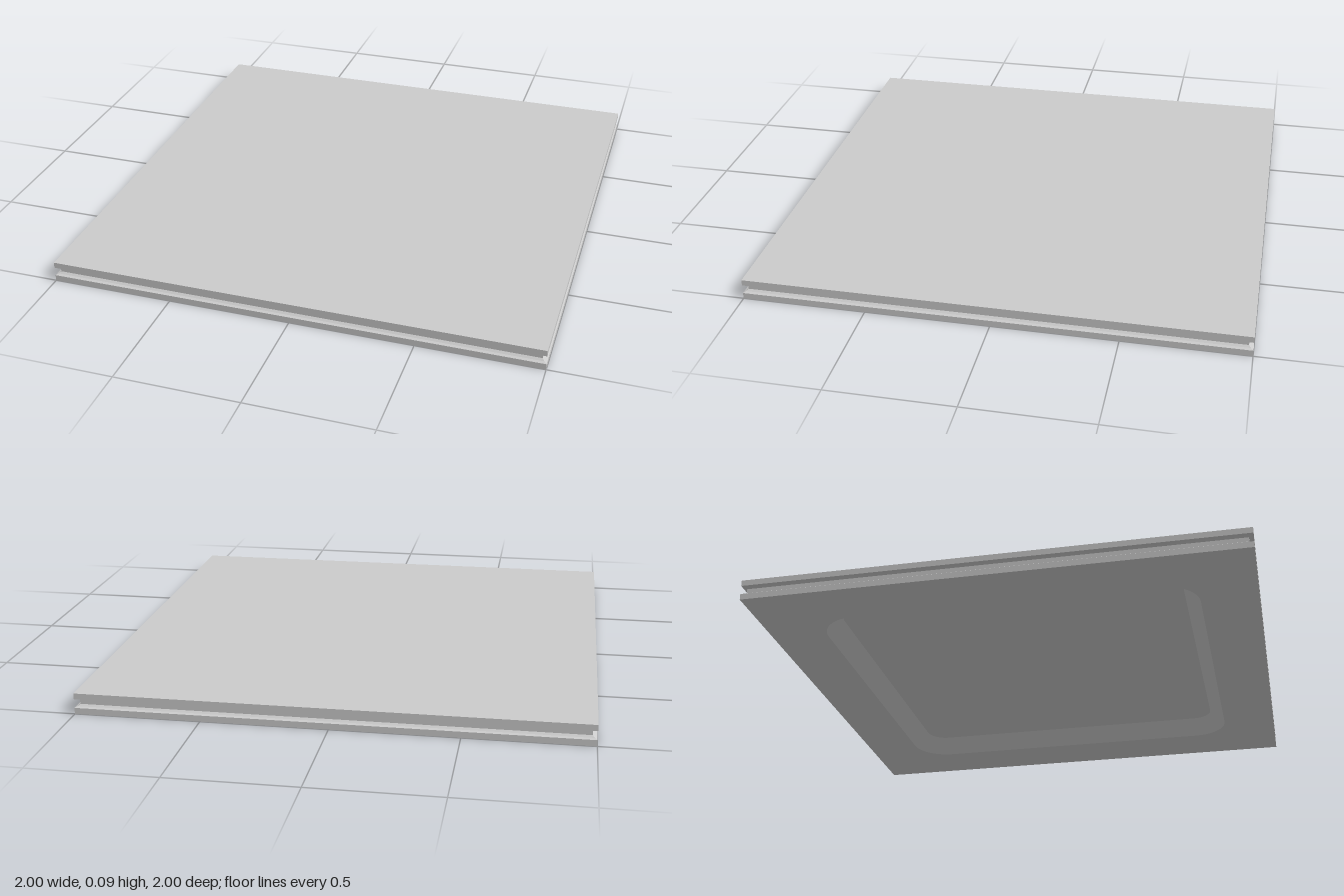
import * as THREE from 'three';

const DEPTH = 0.065; // underside recess depth, walls slope at 45 degrees

// Counter-clockwise outline of a square with rounded corners
function roundedSquare(half, radius, steps = 10) {
  const points = [];
  for (let corner = 0; corner < 4; corner++) {
    const mid = Math.PI / 4 + corner * Math.PI / 2;
    const cx = Math.sign(Math.cos(mid)) * (half - radius);
    const cy = Math.sign(Math.sin(mid)) * (half - radius);
    for (let i = 0; i <= steps; i++) {
      const a = (corner + i / steps) * Math.PI / 2;
      points.push(new THREE.Vector2(cx + radius * Math.cos(a), cy + radius * Math.sin(a)));
    }
  }
  return points;
}

// Inward-facing wall between a lower and an upper outline
function recessWall(lower, upper, height) {
  const n = lower.length, positions = [], index = [];
  for (const p of lower) positions.push(p.x, 0, p.y);
  for (const p of upper) positions.push(p.x, height, p.y);
  for (let i = 0; i < n; i++) {
    const j = (i + 1) % n;
    index.push(i, j, n + i, j, n + j, n + i);
  }
  const geometry = new THREE.BufferGeometry();
  geometry.setAttribute('position', new THREE.Float32BufferAttribute(positions, 3));
  geometry.setIndex(index);
  geometry.computeVertexNormals();
  return geometry;
}

export function createModel() {
  const group = new THREE.Group();
  const smooth = new THREE.MeshStandardMaterial({ color: 0xcccccc });
  const flat = new THREE.MeshStandardMaterial({ color: 0xcccccc, flatShading: true });
  const add = (name, geometry, material) => {
    const mesh = new THREE.Mesh(geometry, material);
    mesh.name = name;
    group.add(mesh);
  };

  // Square slab: top face and edges with a groove running all round
  const profile = [
    [1, 0], [1, 0.025], [0.99, 0.029], [0.982, 0.036],
    [0.982, 0.054], [0.99, 0.058], [1, 0.061], [1, 0.085], [0, 0.085],
  ].map(([x, y]) => new THREE.Vector2(x * Math.SQRT2, y));
  add('groovedSlab', new THREE.LatheGeometry(profile, 4, Math.PI / 4), flat);

  // Underside rim around the recess
  const outer = roundedSquare(0.77, 0.15);
  const inner = roundedSquare(0.77 - DEPTH, 0.15 - DEPTH);
  const rim = new THREE.Shape([[-1, -1], [1, -1], [1, 1], [-1, 1]].map(p => new THREE.Vector2(...p)));
  rim.holes.push(new THREE.Path(outer));
  add('undersideRim', new THREE.ShapeGeometry(rim).rotateX(Math.PI / 2), smooth);

  // Sloped recess walls and recess ceiling
  add('recessWall', recessWall(outer, inner, DEPTH), smooth);
  add('recessCeiling',
    new THREE.ShapeGeometry(new THREE.Shape(inner)).rotateX(Math.PI / 2).translate(0, DEPTH, 0), smooth);

  return group;
}
